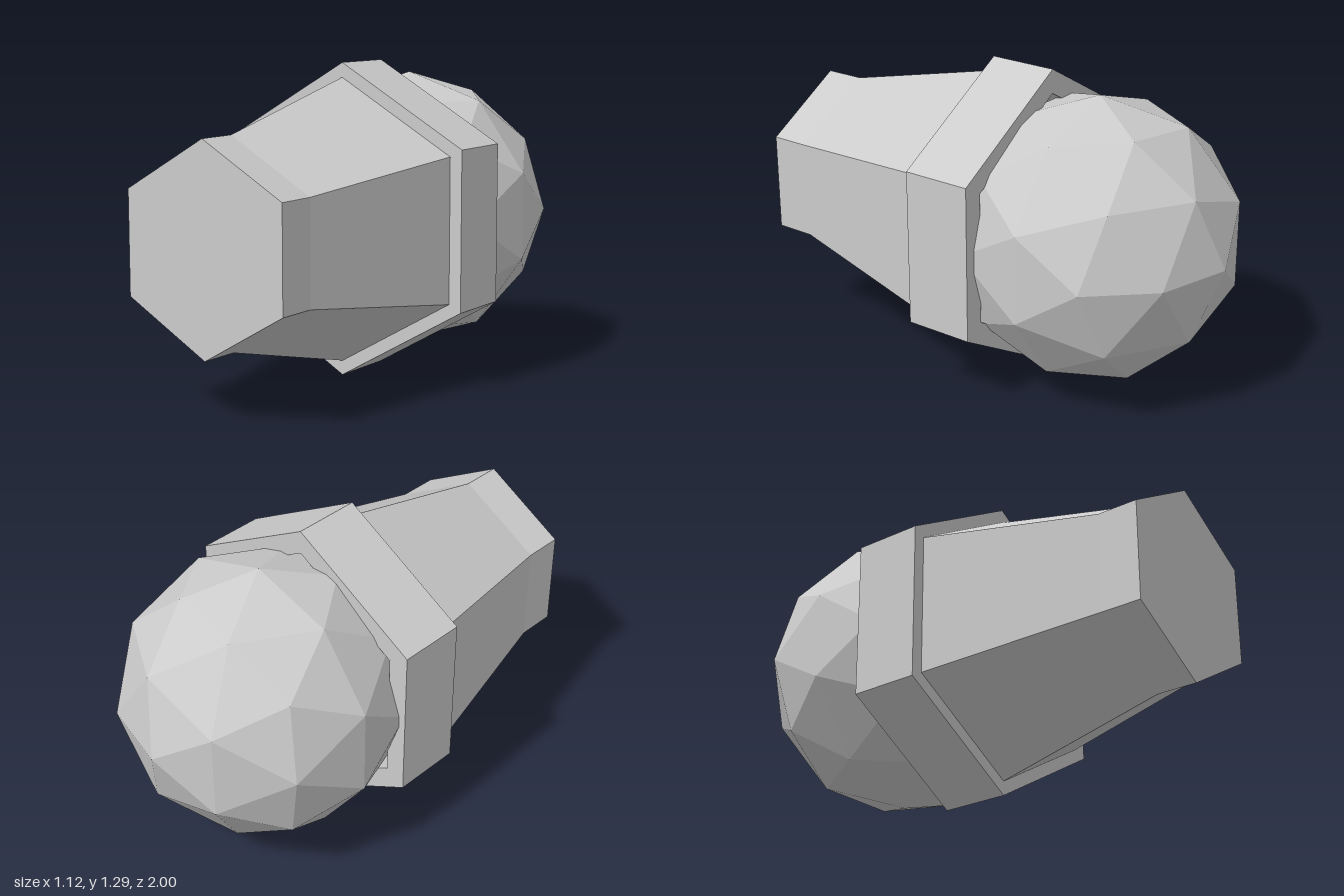
import * as THREE from 'three';

const CY = 0.645; // height of the long axis
const material = new THREE.MeshStandardMaterial({ color: 0xcccccc, flatShading: true });

// Hexagon with a corner at the top
function hexagon(radius, Type = THREE.Shape) {
  const points = [];
  for (let i = 0; i < 6; i++) {
    const a = Math.PI / 2 + (i * Math.PI) / 3;
    points.push(new THREE.Vector2(radius * Math.cos(a), radius * Math.sin(a)));
  }
  return new Type(points);
}

// Six-sided prism or taper along z, from zBack to zFront
function hexSection(rBack, rFront, zBack, zFront, openEnds) {
  const g = new THREE.CylinderGeometry(rFront, rBack, zFront - zBack, 6, 1, openEnds);
  g.rotateX(Math.PI / 2);
  g.translate(0, 0, (zBack + zFront) / 2);
  return g;
}

export function createModel() {
  const model = new THREE.Group();
  model.name = 'bulb';

  const add = (name, geometry) => {
    const mesh = new THREE.Mesh(geometry, material);
    mesh.name = name;
    mesh.position.y = CY;
    model.add(mesh);
    return mesh;
  };

  // Tapered body and the straight tip at the front
  add('taperedBody', hexSection(0.585, 0.41, 0.1, 0.83, true));
  add('tip', hexSection(0.41, 0.41, 0.83, 1, true));

  const tipCap = new THREE.ShapeGeometry(hexagon(0.41));
  tipCap.translate(0, 0, 1);
  add('tipCap', tipCap);

  // Collar with a hexagonal socket for the dome
  const collarShape = hexagon(0.645);
  collarShape.holes.push(hexagon(0.545, THREE.Path));
  const collar = new THREE.ExtrudeGeometry(collarShape, { depth: 0.29, bevelEnabled: false });
  collar.translate(0, 0, -0.19);
  add('collar', collar);

  // Floor of the socket, facing back
  const floor = new THREE.ShapeGeometry(hexagon(0.585));
  floor.rotateY(Math.PI);
  floor.translate(0, 0, 0.1);
  add('socketFloor', floor);

  // Faceted dome: one corner points straight back, the next ring starts at +x
  const dome = new THREE.IcosahedronGeometry(0.585, 1);
  dome.rotateX(Math.atan(2 / (1 + Math.sqrt(5))));
  dome.rotateY(Math.PI);
  dome.rotateZ(Math.PI / 2);
  dome.translate(0, 0, -0.415);
  add('dome', dome);

  return model;
}
